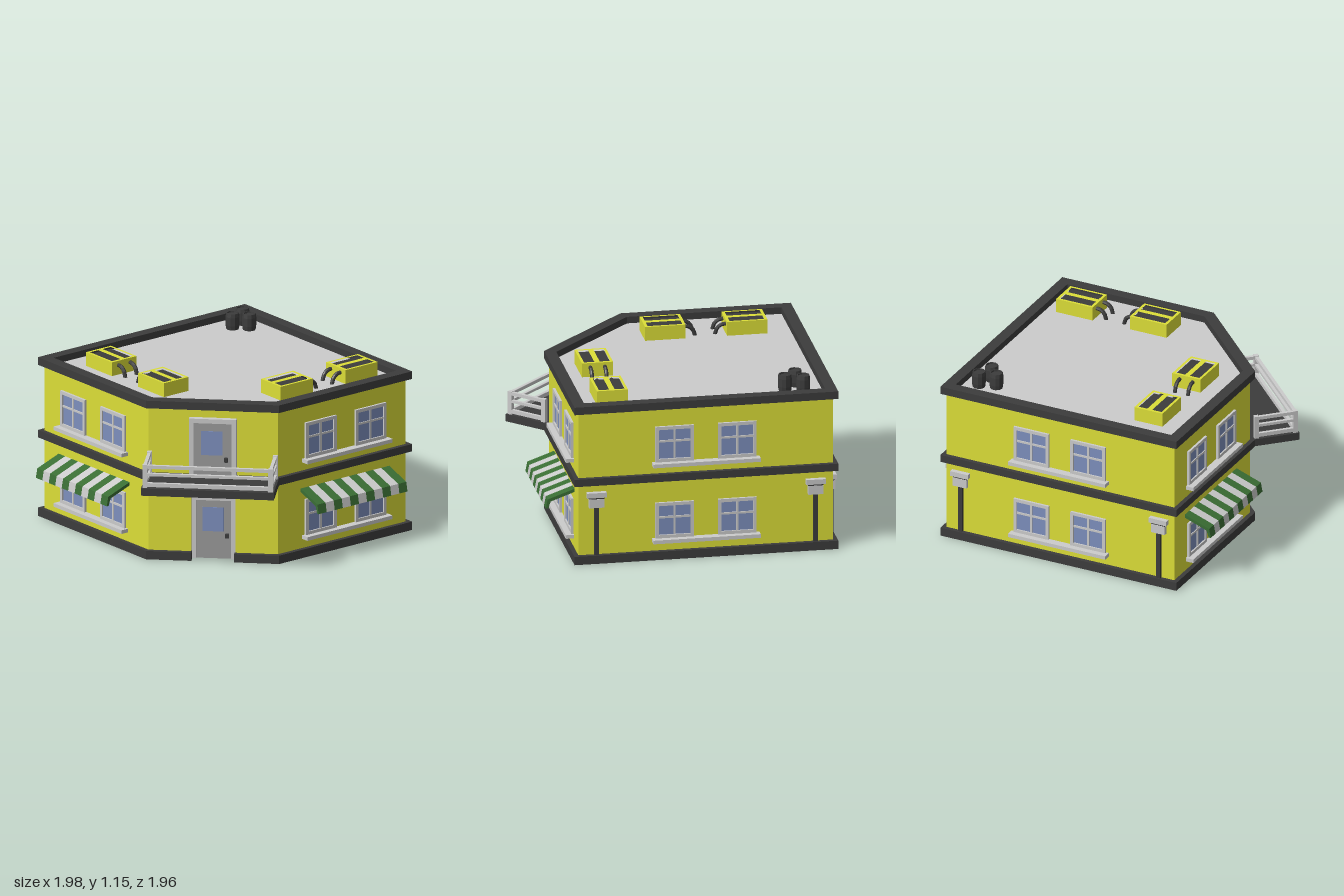
import * as THREE from 'three';

const mat = (color, side = THREE.FrontSide) =>
  new THREE.MeshStandardMaterial({ color, side, flatShading: true });
const GREY = mat(0xcccccc), DOOR = mat(0x9a9a9a), DARK = mat(0x3c3c3c), GREEN = mat(0x3a6e34);
const GLASS = mat(0x7d8fbd), YELLOW = mat(0xdcde38), WALL = mat(0xdcde38, THREE.DoubleSide);

function add(parent, name, geo, material, x = 0, y = 0, z = 0) {
  const m = new THREE.Mesh(geo, material);
  m.name = name;
  m.position.set(x, y, z);
  parent.add(m);
  return m;
}
const box = (parent, name, material, w, h, d, x, y, z) =>
  add(parent, name, new THREE.BoxGeometry(w, h, d), material, x, y, z);

function group(parent, name, x = 0, y = 0, z = 0, ry = 0) {
  const g = new THREE.Group();
  g.name = name;
  g.position.set(x, y, z);
  g.rotation.y = ry;
  parent.add(g);
  return g;
}

// Footprint (x, z) grown outwards by d; starts and ends on the cut corner
function footprint(d) {
  const x0 = -0.945 - d, x1 = 0.74 + d, z0 = -0.93 - d, z1 = 0.735 + d, k = 0.414 * d;
  return [[x1, 0.135 + k], [x1, z0], [x0, z0], [x0, z1], [0.141 + k, z1]];
}
// Point on the cut corner wall: s along it, d out of it
const CX = 0.4405, CZ = 0.435, R = Math.SQRT1_2;
const onCut = (s, d) => [CX + (s + d) * R, CZ + (d - s) * R];
const toShape = (pts) => new THREE.Shape(pts.map(([x, z]) => new THREE.Vector2(x, -z)));

// Horizontal plate from plan points, with an optional hole
function slab(parent, name, material, pts, y, h, hole) {
  const s = toShape(pts);
  if (hole) s.holes.push(toShape(hole));
  const geo = new THREE.ExtrudeGeometry(s, { depth: h, bevelEnabled: false });
  return add(parent, name, geo.rotateX(-Math.PI / 2), material, 0, y, 0);
}

// Four-pane window, y0 = lower edge
function addWindow(parent, x, y0) {
  const g = group(parent, 'window', x, y0, 0), w = 0.255, h = 0.245, b = 0.022;
  box(g, 'glass', GLASS, w - b, h - b, 0.012, 0, h / 2, 0);
  for (const s of [-1, 1]) box(g, 'windowFrame', GREY, b, h, 0.032, s * (w - b) / 2, h / 2, 0);
  for (const y of [b / 2, h - b / 2]) box(g, 'windowFrame', GREY, w - 2 * b, b, 0.032, 0, y, 0);
  box(g, 'windowBar', GREY, 0.014, h - 2 * b, 0.024, 0, h / 2, 0);
  box(g, 'windowBar', GREY, w - 2 * b, 0.014, 0.024, 0, 0.143, 0);
}

// Two windows over a shared sill
function windowPair(parent, x, y0) {
  const g = group(parent, 'windowPair', x, y0, 0);
  for (const s of [-1, 1]) addWindow(g, s * 0.2075, 0.012);
  box(g, 'windowSill', GREY, 0.71, 0.025, 0.07, 0, 0, 0.02);
}

// Striped folded awning
function awning(parent, x) {
  const g = group(parent, 'awning', x), n = 11, w = 0.74 / n;
  const profile = [[-0.01, 0.45], [0.158, 0.39], [0.175, 0.342], [0.19, 0.342], [0.178, 0.405], [-0.01, 0.472]];
  const shape = new THREE.Shape(profile.map((p) => new THREE.Vector2(...p)));
  for (let i = 0; i < n; i++) {
    const geo = new THREE.ExtrudeGeometry(shape, { depth: w, bevelEnabled: false }).rotateY(-Math.PI / 2);
    add(g, 'awningStripe', geo, i % 2 ? GREY : GREEN, -0.37 + (i + 1) * w, 0, 0);
  }
}

// Downpipe with a rain hopper
function downpipe(parent, x) {
  const g = group(parent, 'downpipe', x);
  box(g, 'pipe', DARK, 0.03, 0.36, 0.024, 0, 0.22, 0.008);
  box(g, 'hopper', GREY, 0.1, 0.06, 0.04, 0, 0.415, 0.006);
  box(g, 'hopperSlot', DARK, 0.1, 0.012, 0.034, 0, 0.451, 0.006);
  box(g, 'hopperLip', GREY, 0.13, 0.034, 0.05, 0, 0.473, 0.008);
}

// Framed door, z = front of the frame
function door(parent, y0, h, w, z, glassY) {
  const g = group(parent, 'door', 0, y0, z), b = 0.03;
  for (const s of [-1, 1]) box(g, 'doorFrame', GREY, b, h, 0.045, s * (w - b) / 2, h / 2, -0.0225);
  box(g, 'doorFrame', GREY, w - 2 * b, b, 0.045, 0, h - b / 2, -0.0225);
  box(g, 'doorLeaf', DOOR, w - 2 * b, h - b, 0.02, 0, (h - b) / 2, -0.022);
  box(g, 'doorGlass', GLASS, 0.14, 0.165, 0.026, -0.005, glassY, -0.022);
  box(g, 'doorKnob', DARK, 0.024, 0.028, 0.025, 0.088, glassY - 0.11, -0.004);
}

// Balcony with posts and three rails
function balcony(parent) {
  const g = group(parent, 'balcony');
  box(g, 'balconyFloor', DARK, 0.87, 0.05, 0.335, 0, 0.565, 0.1675);
  for (const s of [-1, 1])
    for (const z of [0.045, 0.31]) box(g, 'railPost', GREY, 0.03, 0.16, 0.03, s * 0.412, 0.668, z);
  for (const [y, h] of [[0.733, 0.022], [0.68, 0.018], [0.61, 0.026]]) {
    box(g, 'frontRail', GREY, 0.81, h, 0.022, 0, y, 0.31);
    for (const s of [-1, 1]) box(g, 'sideRail', GREY, 0.022, h, 0.28, s * 0.412, y, 0.17);
  }
}

// Roof vent box with two slots and two bent pipes on its +x end
function roofUnit(parent, x, z, ry) {
  const g = group(parent, 'roofUnit', x, 1.045, z, ry);
  const rect = (w, d, cz) => [[-w, cz - d], [w, cz - d], [w, cz + d], [-w, cz + d]];
  const s = toShape(rect(0.134, 0.103, 0));
  for (const k of [-1, 1]) s.holes.push(toShape(rect(0.115, 0.034, k * 0.052)));
  const geo = new THREE.ExtrudeGeometry(s, { depth: 0.095, bevelEnabled: false });
  add(g, 'ventCasing', geo.rotateX(-Math.PI / 2), YELLOW);
  box(g, 'ventInside', DARK, 0.24, 0.08, 0.18, 0, 0.042, 0);
  for (const k of [-1, 1]) {
    const curve = new THREE.CatmullRomCurve3([[0.12, 0.065], [0.16, 0.062], [0.19, 0.04], [0.205, -0.005]]
      .map(([a, b]) => new THREE.Vector3(a, b, k * 0.048)));
    add(g, 'ventPipe', new THREE.TubeGeometry(curve, 6, 0.0135, 8), DARK);
  }
}

export function createModel() {
  const model = new THREE.Group();
  model.name = 'cornerBuilding';

  // Walls: centre x, z, turn, length
  const walls = {
    front: [-0.402, 0.735, 0, 1.086],
    right: [0.74, -0.3975, Math.PI / 2, 1.065],
    back: [-0.1025, -0.93, Math.PI, 1.685],
    left: [-0.945, -0.0975, -Math.PI / 2, 1.665],
    corner: [CX, CZ, Math.PI / 4, 0.848],
  };
  const side = {};
  for (const [key, [x, z, ry, len]] of Object.entries(walls)) {
    const g = side[key] = group(model, key + 'Side', x, 0, z, ry), l = len / 2;
    const outline = [[-l, 0], [-l, 1.06], [l, 1.06], [l, 0]];
    if (key === 'corner') outline.push([0.145, 0], [0.145, 0.43], [-0.145, 0.43], [-0.145, 0]);
    const shape = new THREE.Shape(outline.map((p) => new THREE.Vector2(...p)));
    add(g, 'wall', new THREE.ShapeGeometry(shape), WALL);
  }

  // Windows, awnings and downpipes
  for (const [key, x] of [['front', -0.023], ['right', 0.0255], ['back', 0], ['left', 0]]) {
    windowPair(side[key], x, 0.132);
    windowPair(side[key], x, 0.658);
    if (key === 'front' || key === 'right') awning(side[key], x);
    else for (const s of [-1, 1]) downpipe(side[key], s * 0.725);
  }

  // Entrance in a recess, balcony door above
  const c = side.corner;
  for (const s of [-1, 1]) box(c, 'doorJamb', YELLOW, 0.01, 0.43, 0.05, s * 0.15, 0.215, -0.0255);
  box(c, 'doorLintel', YELLOW, 0.31, 0.01, 0.05, 0, 0.435, -0.0255);
  door(c, 0, 0.43, 0.29, -0.03, 0.268);
  door(c, 0.59, 0.39, 0.31, 0.036, 0.222);
  balcony(c);

  // Base trim with a gap for the entrance, floor slab, parapet and roof
  const out = 0.03, inn = -0.008;
  slab(model, 'baseTrim', DARK, [
    onCut(0.14, out), ...footprint(out), onCut(-0.14, out),
    onCut(-0.14, inn), ...footprint(inn).reverse(), onCut(0.14, inn),
  ], 0, 0.057);
  slab(model, 'floorSlab', DARK, footprint(out), 0.54, 0.05);
  slab(model, 'parapet', DARK, footprint(out), 1.038, 0.052, footprint(-0.045));
  slab(model, 'roof', GREY, footprint(-0.03), 1.04, 0.005);

  // Roof vents
  roofUnit(model, -0.61, 0.443, 0);
  roofUnit(model, -0.068, 0.443, Math.PI);
  roofUnit(model, 0.493, -0.678, -Math.PI / 2);
  roofUnit(model, 0.493, -0.138, Math.PI / 2);

  // Barrels
  const profile = [[0, 0], [0.042, 0], [0.046, 0.03], [0.046, 0.085], [0.042, 0.11], [0.036, 0.11], [0.035, 0.1], [0, 0.1]]
    .map((p) => new THREE.Vector2(...p));
  for (const [x, z] of [[-0.775, -0.78], [-0.66, -0.745], [-0.74, -0.67]])
    add(model, 'barrel', new THREE.LatheGeometry(profile, 10), DARK, x, 1.045, z);

  return model;
}
